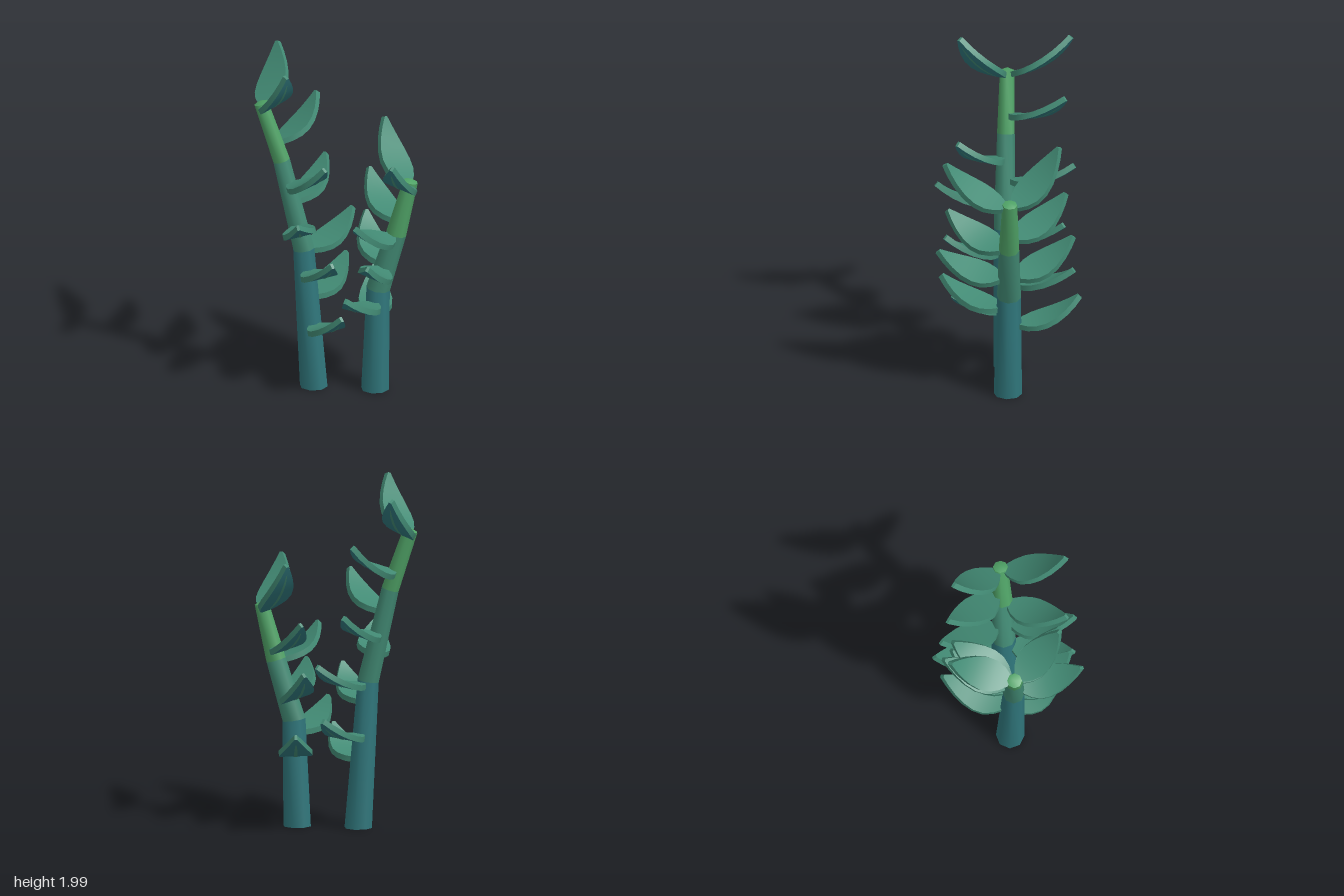
import * as THREE from 'three';
import { mergeGeometries, mergeVertices } from 'three/addons/utils/BufferGeometryUtils.js';

const V = (x, y, z) => new THREE.Vector3(x, y, z);
const green = new THREE.MeshStandardMaterial({ name: 'young green', color: 0x4fa266 });
const mid = new THREE.MeshStandardMaterial({ name: 'leaf green', color: 0x428a74 });
const teal = new THREE.MeshStandardMaterial({ name: 'deep teal', color: 0x30777c });

// Smooth surface through rows of points; faces point along (column x row)
function grid(rows) {
  const n = rows[0].length, index = [];
  for (let i = 0; i < rows.length - 1; i++) {
    for (let j = 0; j < n - 1; j++) {
      const a = i * n + j;
      index.push(a, a + 1, a + n, a + 1, a + n + 1, a + n);
    }
  }
  let g = new THREE.BufferGeometry().setFromPoints(rows.flat());
  g.setIndex(index);
  g = mergeVertices(g, 1e-5);
  g.computeVertexNormals();
  return g;
}

function addMesh(group, name, geometry, material) {
  const m = new THREE.Mesh(geometry, material);
  m.name = name;
  group.add(m);
}

// Each stalk: knots [x, y, z, radius], leaves [base height, tip x, y, z]
const STALKS = [
  {
    name: 'tallStalk',
    knots: [[-0.065, 0, -0.11, 0.08], [-0.105, 0.84, -0.15, 0.062], [-0.16, 1.37, -0.265, 0.05], [-0.209, 1.71, -0.371, 0.042]],
    leaves: [
      [1.69, 0.13, 1.94, -0.5], [1.47, 0.21, 1.66, -0.285], [1.11, 0.275, 1.265, -0.27],
      [0.82, 0.3, 0.97, -0.1], [0.53, 0.33, 0.67, -0.165],
      [1.69, -0.36, 1.985, -0.09], [1.235, -0.265, 1.435, 0.11], [0.985, -0.435, 1.125, 0.05],
      [0.71, -0.3, 0.88, 0.19], [0.38, -0.24, 0.54, 0.21],
    ],
  },
  {
    name: 'shortStalk',
    knots: [[0.103, 0, 0.195, 0.08], [0.117, 0.61, 0.207, 0.068], [0.166, 0.95, 0.297, 0.058], [0.209, 1.27, 0.366, 0.042]],
    leaves: [
      [1.245, 0.365, 1.54, 0.07], [1.015, 0.355, 1.21, -0.03], [0.74, 0.38, 0.93, -0.07], [0.43, 0.43, 0.58, -0.05],
      [1.245, -0.14, 1.495, 0.49], [0.94, -0.23, 1.11, 0.3], [0.74, -0.24, 0.89, 0.39], [0.53, -0.285, 0.68, 0.27],
    ],
  },
];

// Eight-sided tapering stem in three colour bands
function buildStem(group, knots) {
  const c = knots.map(k => V(k[0], k[1], k[2]));
  const dir = i => c[i + 1].clone().sub(c[i]).normalize();
  const rings = c.map((p, i) => {
    const t = i === 0 ? V(0, 1, 0) : i === 3 ? dir(2) : dir(i - 1).add(dir(i)).normalize();
    const u = V(1, 0, 0).addScaledVector(t, -t.x).normalize();
    const v = u.clone().cross(t);
    return Array.from({ length: 9 }, (_, j) => {
      const a = ((j % 8) + 0.5) * Math.PI / 4;
      return p.clone().addScaledVector(u, knots[i][3] * Math.cos(a)).addScaledVector(v, -knots[i][3] * Math.sin(a));
    });
  });
  ['lowerStem', 'middleStem', 'upperStem'].forEach((name, i) =>
    addMesh(group, name, grid([rings[i], rings[i + 1]]), [teal, mid, green][i]));
  const apex = c[3].clone().addScaledVector(dir(2), 0.015);
  addMesh(group, 'stemTip', grid([rings[3], rings[3].map(() => apex)]), green);
  addMesh(group, 'stemFoot', grid([rings[0].map(() => c[0]), rings[0]]), teal);
}

// Leaf outline: [position along the leaf, half width]
const OUTLINE = [[0, 0.032], [0.1, 0.066], [0.23, 0.09], [0.38, 0.095], [0.55, 0.083], [0.72, 0.06], [0.87, 0.034], [1, 0.008]];
const HALF = 0.016;

// Upward-curling leaf plate with a paler rib underneath
function buildLeaf(knots, [y, ...tipXYZ]) {
  const leaf = new THREE.Group();
  leaf.name = 'leaf';
  const i = Math.max(0, knots.findLastIndex((k, n) => n < 3 && k[1] <= y));
  const lo = V(...knots[i]), hi = V(...knots[i + 1]);
  const f = (y - lo.y) / (hi.y - lo.y);
  const start = lo.clone().lerp(hi, f);
  const radius = THREE.MathUtils.lerp(knots[i][3], knots[i + 1][3], f);
  const stemDir = hi.sub(lo).normalize();
  const tip = V(...tipXYZ);
  const out = tip.clone().sub(start).setY(0).normalize();
  start.addScaledVector(out, radius * 0.75);

  const h = tip.clone().sub(start).normalize();
  const w = stemDir.cross(h).normalize();
  const n = h.clone().cross(w);
  const bend = start.clone().lerp(tip, 0.5).addScaledVector(n, -0.075);
  const curve = new THREE.QuadraticBezierCurve3(start, bend, tip);
  const point = (t, side, lift) => {
    const up = curve.getTangent(t).cross(w).normalize();
    return curve.getPoint(t).addScaledVector(w, side).addScaledVector(up, lift);
  };
  // Strip between two edges, each [side, lift]
  const strip = (a, b) => grid(OUTLINE.map(([t, hw]) =>
    [point(t, a[0] * hw, a[1] * HALF), point(t, b[0] * hw, b[1] * HALF)]));
  const end = (t, s) => grid([-1, 1].map(l => [point(t, -s, l * HALF), point(t, s, l * HALF)]));

  addMesh(leaf, 'leafBlade', mergeGeometries([
    strip([1, 1], [-1, 1]),
    strip([1, -1], [1, 1]),
    strip([-1, 1], [-1, -1]),
    end(1, OUTLINE[7][1]),
    end(0, -OUTLINE[0][1]),
  ]), mid);
  addMesh(leaf, 'leafUnderside', strip([-1, -1], [1, -1]), teal);
  const rib = OUTLINE.slice(1, 7).map(([t], k) => {
    const r = [0.004, 0.01, 0.011, 0.01, 0.008, 0.003][k];
    return [point(t, -r, -HALF - 0.003), point(t, r, -HALF - 0.003)];
  });
  addMesh(leaf, 'leafRib', grid(rib), mid);
  return leaf;
}

export function createModel() {
  const model = new THREE.Group();
  model.name = 'leafyPlant';
  for (const { name, knots, leaves } of STALKS) {
    const stalk = new THREE.Group();
    stalk.name = name;
    buildStem(stalk, knots);
    leaves.forEach(l => stalk.add(buildLeaf(knots, l)));
    model.add(stalk);
  }
  return model;
}
